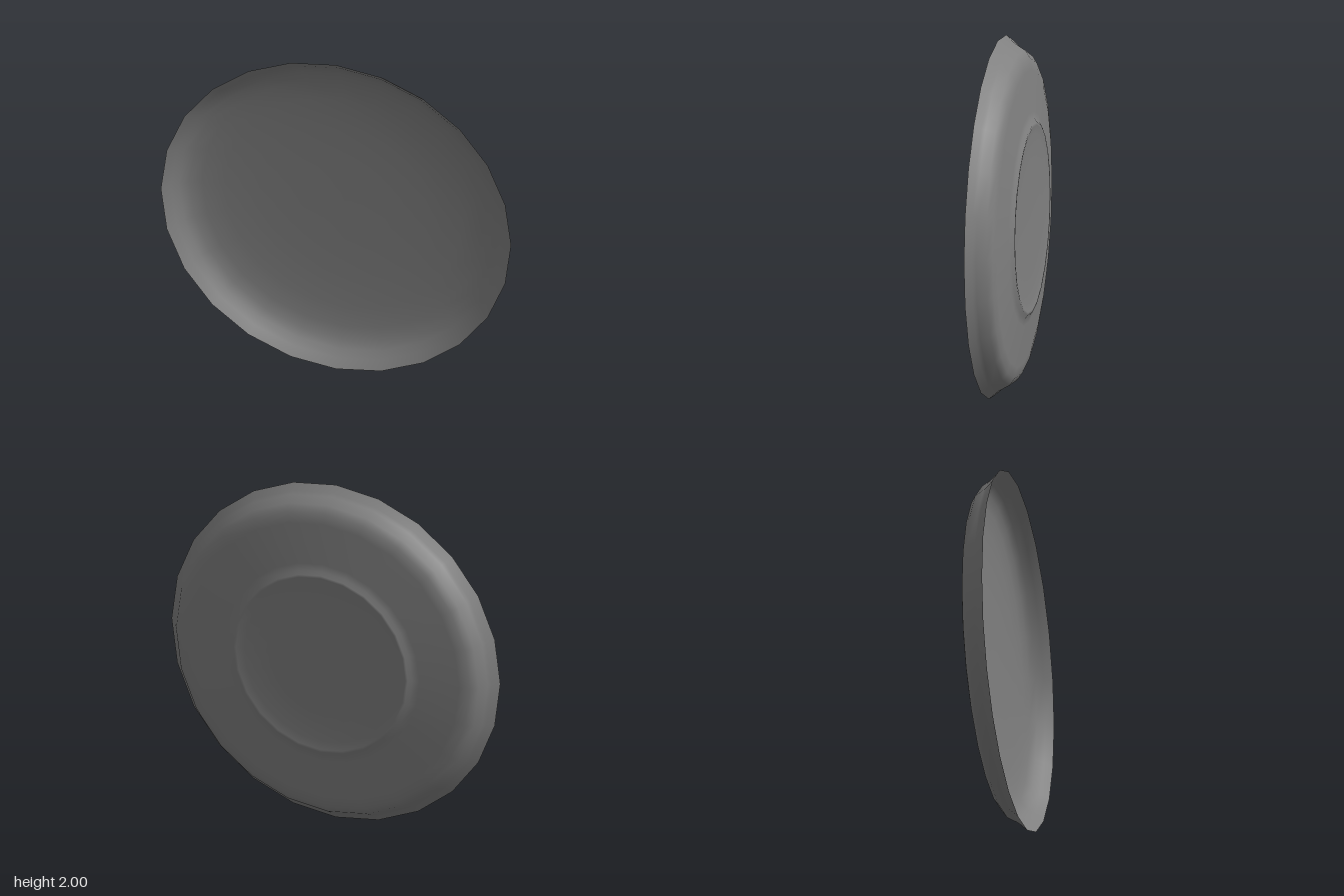
import * as THREE from 'three';

const SIDES = 24;

// Revolves [radius, z] points around the z axis.
function turned(name, profile, material) {
  const points = profile.map(([r, z]) => new THREE.Vector2(r, z));
  const geometry = new THREE.LatheGeometry(points, SIDES);
  geometry.rotateX(Math.PI / 2);
  const mesh = new THREE.Mesh(geometry, material);
  mesh.name = name;
  return mesh;
}

export function createModel() {
  const material = new THREE.MeshStandardMaterial({ color: 0x808080 });
  const plate = new THREE.Group();
  plate.name = 'plate';

  // Back: shallow recess, foot ring, sloping underside and flared wall
  const underside = turned('underside', [
    [0, -0.083], [0.3, -0.084], [0.47, -0.088], [0.515, -0.097],
    [0.53, -0.097], [0.55, -0.082], [0.59, -0.075], [0.82, -0.052],
    [0.88, -0.04], [0.92, -0.012], [0.95, 0.04], [0.965, 0.06], [1, 0.097],
  ], material);

  // Front: shallow dish rising softly to a sharp rim
  const dish = turned('dish', [
    [1, 0.097], [0.955, 0.055], [0.92, 0.015], [0.87, -0.014],
    [0.8, -0.032], [0.68, -0.046], [0.48, -0.057], [0.25, -0.061], [0, -0.062],
  ], material);

  plate.add(underside, dish);
  plate.position.y = 1;

  const model = new THREE.Group();
  model.add(plate);
  return model;
}
